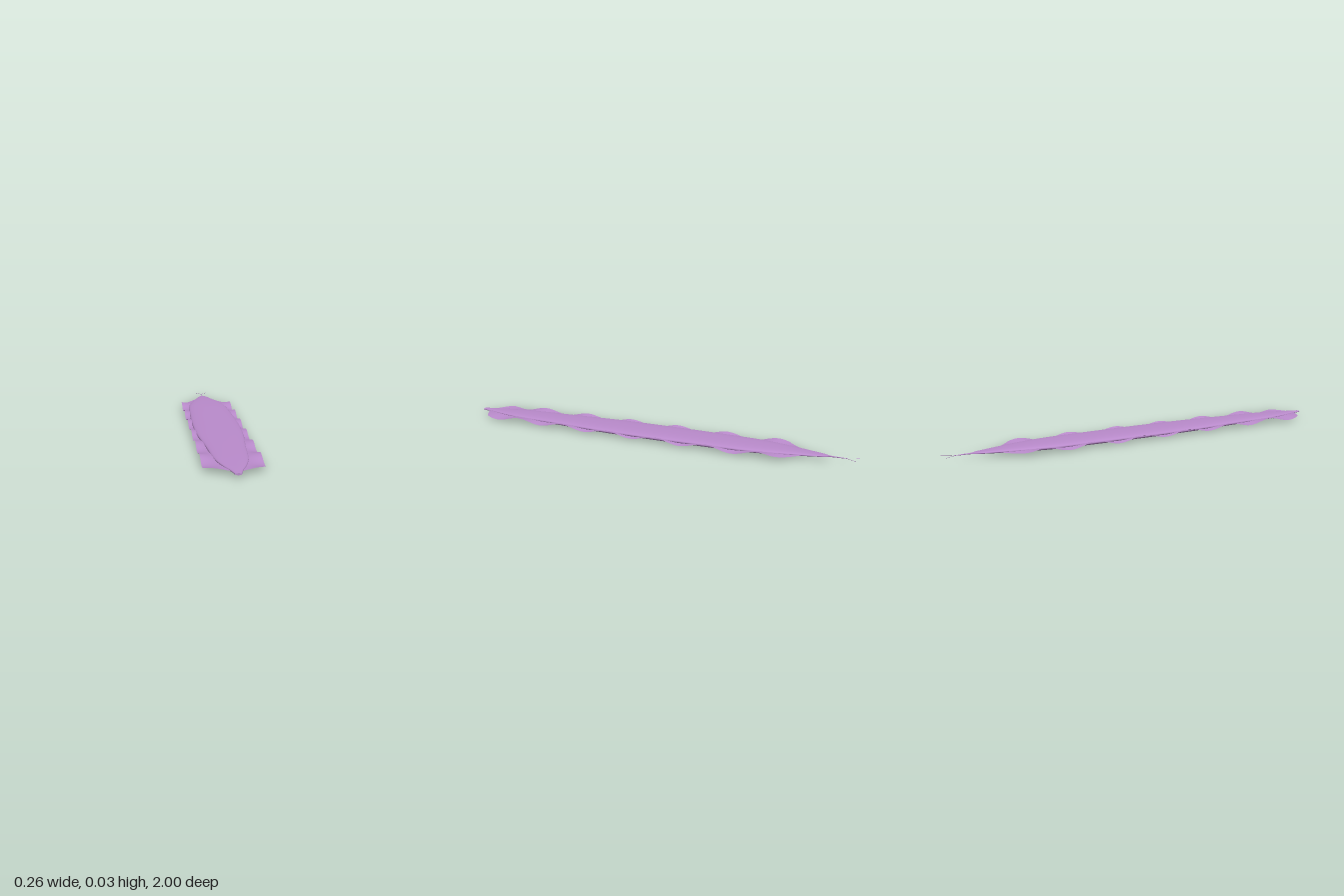
import * as THREE from 'three';

const MID = 0.0195; // height of the body's centre line

// Body stations: z, half width, half height
const bodyCurve = new THREE.CatmullRomCurve3([
  [1.0, 0.013, 0.004], [0.94, 0.025, 0.0065], [0.87, 0.045, 0.0085], [0.76, 0.067, 0.011],
  [0.5, 0.086, 0.0142], [0.25, 0.105, 0.016], [0.0, 0.11, 0.0165], [-0.3, 0.105, 0.0165],
  [-0.5, 0.097, 0.0155], [-0.6, 0.083, 0.0135], [-0.7, 0.06, 0.0105], [-0.8, 0.034, 0.0065],
  [-0.85, 0.02, 0.004], [-0.88, 0.004, 0.0015],
].map((p) => new THREE.Vector3(...p)));
const stations = bodyCurve.getPoints(104);

// Linear lookup in a list of [z, value] sorted by falling z
function lookup(list, z) {
  for (let i = 0; i < list.length - 1; i++) {
    const [z0, v0] = list[i], [z1, v1] = list[i + 1];
    if (z >= z1) return THREE.MathUtils.lerp(v0, v1, Math.min(1, Math.max(0, (z0 - z) / (z0 - z1))));
  }
  return list[list.length - 1][1];
}

// Smooth surface through a rows x cols grid of points
function gridSurface(rows, cols, pointAt, wrap) {
  const pos = [], index = [];
  for (let i = 0; i < rows; i++) for (let j = 0; j < cols; j++) pos.push(...pointAt(i, j));
  for (let i = 0; i < rows - 1; i++) {
    for (let j = 0; j < (wrap ? cols : cols - 1); j++) {
      const k = (j + 1) % cols;
      const a = i * cols + j, b = i * cols + k, c = a + cols, d = b + cols - 0;
      index.push(a, c, b, b, c, d);
    }
  }
  const g = new THREE.BufferGeometry();
  g.setAttribute('position', new THREE.Float32BufferAttribute(pos, 3));
  g.setIndex(index);
  g.computeVertexNormals();
  return g;
}

// Flattened oval body, slightly squarer than an ellipse
function bodyGeometry() {
  const sides = 40, soft = (v) => Math.sign(v) * Math.abs(v) ** (2 / 2.4);
  return gridSurface(stations.length, sides, (i, j) => {
    const t = (j / sides) * Math.PI * 2, s = stations[i];
    return [s.y * soft(Math.cos(t)), MID + s.z * soft(Math.sin(t)), s.x];
  }, true);
}

// Rippling side fin; side is +1 or -1
function finGeometry(side) {
  const widths = stations.map((s) => [s.x, s.y]);
  const outline = [[0.945, 0.034], [0.93, 0.055], [0.9, 0.108], [0.885, 0.119], [0.86, 0.124],
    [0.3, 0.126], [-0.3, 0.13], [-0.62, 0.131], [-0.645, 0.128], [-0.67, 0.114], [-0.745, 0.061], [-0.76, 0.05]];
  const rows = 150, cols = 9;
  return gridSurface(rows, cols, (i, j) => {
    const z = THREE.MathUtils.lerp(0.945, -0.76, i / (rows - 1));
    const inner = 0.8 * lookup(widths, z), outer = lookup(outline, z);
    const x = THREE.MathUtils.lerp(inner, outer, j / (cols - 1));
    const lift = 0.0115 * (x - inner) / (0.13 - inner);
    return [side * x, MID + lift * Math.cos((2 * Math.PI * (z - 0.18)) / 0.257), z];
  }, false);
}

export function createModel() {
  const group = new THREE.Group();
  const skin = new THREE.MeshStandardMaterial({ name: 'lilac skin', color: 0xba8bcc });
  const finSkin = skin.clone();
  finSkin.name = 'lilac fin skin';
  finSkin.side = THREE.DoubleSide;

  const add = (name, geometry, material = skin) => {
    const mesh = new THREE.Mesh(geometry, material);
    mesh.name = name;
    group.add(mesh);
    return mesh;
  };

  add('body', bodyGeometry());

  // Blunt end of the snout
  const snout = add('snoutTip', new THREE.CircleGeometry(1, 32));
  snout.scale.set(0.013, 0.004, 1);
  snout.position.set(0, MID, 1);

  // Tail thread with a forked tip
  const thread = new THREE.CylinderGeometry(0.0035, 0.0012, 0.085, 10);
  thread.rotateX(Math.PI / 2);
  add('tailThread', thread).position.set(0, MID, -0.9125);

  for (const side of [1, -1]) {
    const name = side > 0 ? 'left' : 'right';
    add(name + 'Fin', finGeometry(side), finSkin);
    const fork = new THREE.CatmullRomCurve3([
      new THREE.Vector3(0, MID, -0.945),
      new THREE.Vector3(side * 0.009, MID, -0.965),
      new THREE.Vector3(side * 0.03, MID, -0.9995),
    ]);
    add(name + 'TailFork', new THREE.TubeGeometry(fork, 12, 0.0008, 6));
  }
  return group;
}
